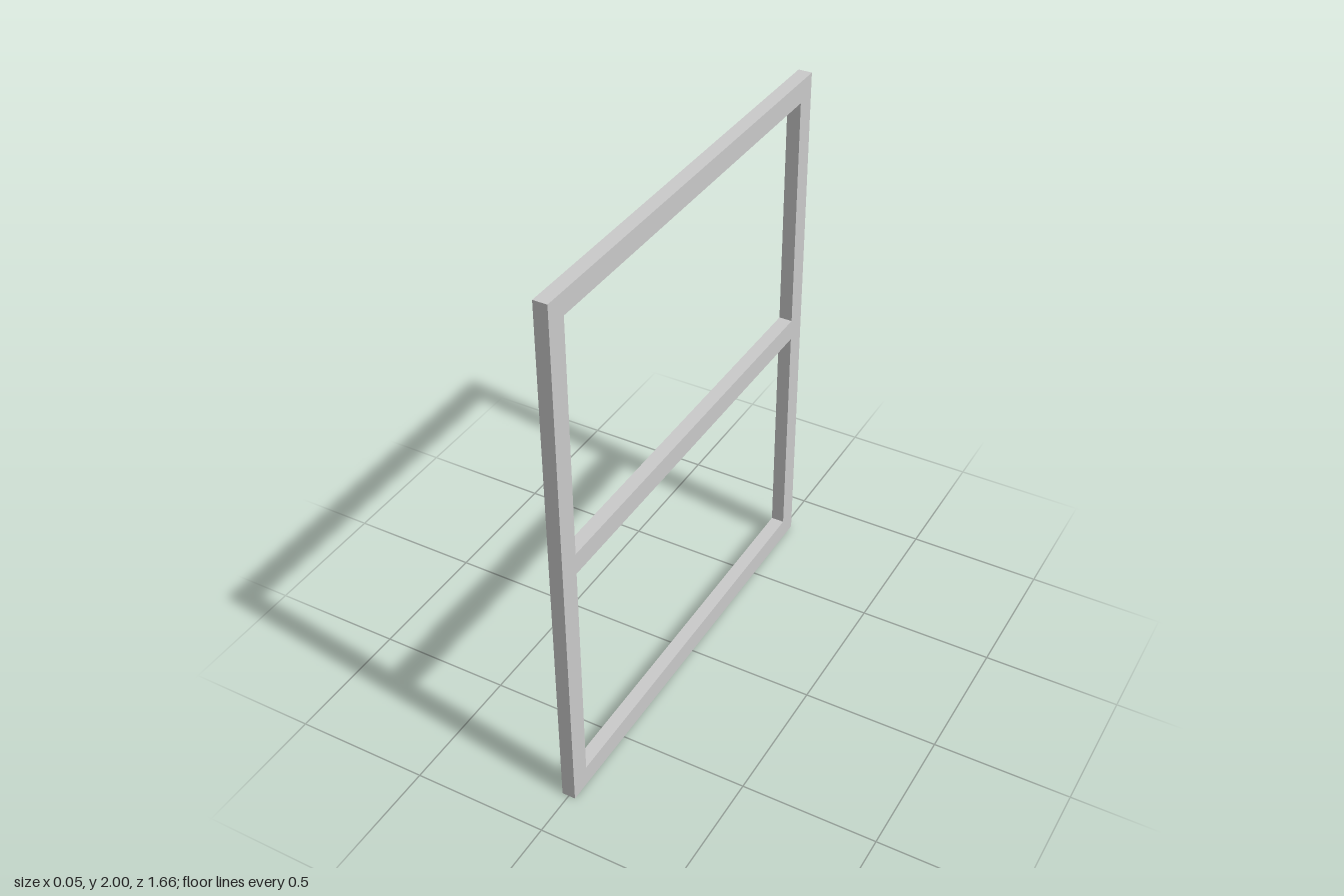
import * as THREE from 'three';

const HALF_WIDTH = 0.828, HEIGHT = 2, DEPTH = 0.05;
const HALF_OPENING = 0.75;

// Rectangle outline helper
function rect(path, x0, y0, x1, y1) {
  path.moveTo(x0, y0);
  path.lineTo(x1, y0);
  path.lineTo(x1, y1);
  path.lineTo(x0, y1);
  path.closePath();
  return path;
}

export function createModel() {
  const group = new THREE.Group();
  group.name = 'windowFrame';

  // Outer frame with two openings, leaving a crossbar between them
  const outline = rect(new THREE.Shape(), -HALF_WIDTH, 0, HALF_WIDTH, HEIGHT);
  for (const [bottom, top] of [[0.08, 0.96], [1.04, 1.92]]) {
    outline.holes.push(rect(new THREE.Path(), -HALF_OPENING, bottom, HALF_OPENING, top));
  }

  // Extruded through its thickness, then turned to face sideways
  const geometry = new THREE.ExtrudeGeometry(outline, { depth: DEPTH, bevelEnabled: false });
  geometry.translate(0, 0, -DEPTH / 2);
  geometry.rotateY(Math.PI / 2);

  const frame = new THREE.Mesh(geometry, new THREE.MeshStandardMaterial({ color: 0xcccccc }));
  frame.name = 'frameWithCrossbar';
  group.add(frame);
  return group;
}
